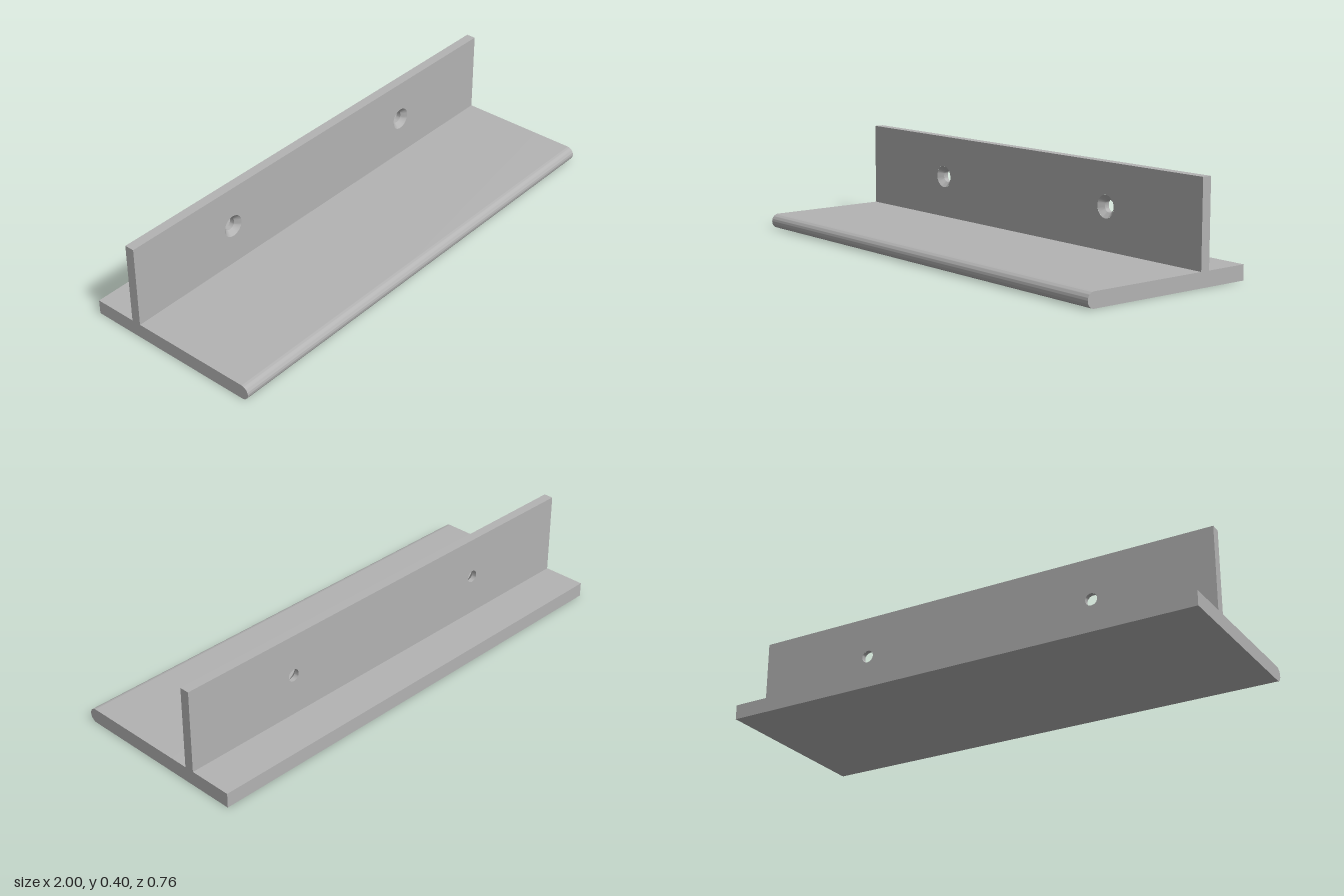
import * as THREE from 'three';
import { toCreasedNormals } from 'three/addons/utils/BufferGeometryUtils.js';

const LENGTH = 2, BASE_H = 0.06, TOP = 0.4;
const WEB_FRONT = -0.16, WEB_BACK = -0.2, WEB_T = WEB_FRONT - WEB_BACK;
const HOLE_X = [-0.5, 0.5], HOLE_Y = 0.23, SINK_R = 0.045, BORE_R = 0.025;

export function createModel() {
  const model = new THREE.Group();
  const grey = new THREE.MeshStandardMaterial({ color: 0xb3b3b3 });
  grey.name = 'plain grey';

  const add = (name, geometry, parent, x = 0, y = 0, z = 0) => {
    const mesh = new THREE.Mesh(geometry, grey);
    mesh.name = name;
    mesh.position.set(x, y, z);
    parent.add(mesh);
  };

  // Base plate: side profile (z, y) with a half-round front edge, swept along x
  const profile = new THREE.Shape();
  profile.moveTo(-0.38, 0);
  profile.lineTo(0.35, 0);
  profile.absarc(0.35, BASE_H / 2, BASE_H / 2, -Math.PI / 2, Math.PI / 2, false);
  profile.lineTo(-0.38, BASE_H);
  profile.closePath();
  const base = new THREE.ExtrudeGeometry(profile, { depth: LENGTH, bevelEnabled: false, curveSegments: 24 });
  base.rotateY(-Math.PI / 2).translate(LENGTH / 2, 0, 0);
  add('basePlate', toCreasedNormals(base, Math.PI / 6), model);

  // Upright web: faces pierced by the screw holes
  const web = new THREE.Group();
  web.name = 'uprightWeb';
  model.add(web);
  const webFace = (radius) => {
    const s = new THREE.Shape();
    s.moveTo(-LENGTH / 2, BASE_H);
    s.lineTo(LENGTH / 2, BASE_H);
    s.lineTo(LENGTH / 2, TOP);
    s.lineTo(-LENGTH / 2, TOP);
    s.closePath();
    for (const x of HOLE_X) {
      s.holes.push(new THREE.Path().absarc(x, HOLE_Y, radius, 0, Math.PI * 2, true));
    }
    return new THREE.ShapeGeometry(s, 32);
  };
  add('webFrontFace', webFace(SINK_R), web, 0, 0, WEB_FRONT);
  add('webBackFace', webFace(BORE_R).rotateY(Math.PI), web, 0, 0, WEB_BACK);

  // Top edge and end faces of the web
  const midZ = (WEB_FRONT + WEB_BACK) / 2;
  add('webTopEdge', new THREE.PlaneGeometry(LENGTH, WEB_T).rotateX(-Math.PI / 2), web, 0, TOP, midZ);
  for (const side of [-1, 1]) {
    const end = new THREE.PlaneGeometry(WEB_T, TOP - BASE_H).rotateY(side * Math.PI / 2);
    add(side > 0 ? 'webLeftEnd' : 'webRightEnd', end, web, side * LENGTH / 2, (TOP + BASE_H) / 2, midZ);
  }

  // Countersunk screw holes: conical mouth, then a straight bore
  const sink = [[SINK_R, 0], [BORE_R, -0.02], [BORE_R, -WEB_T]].map(([r, d]) => new THREE.Vector2(r, d));
  const bore = toCreasedNormals(new THREE.LatheGeometry(sink, 32).rotateX(Math.PI / 2), Math.PI / 6);
  for (const x of HOLE_X) add('countersunkHole', bore, web, x, HOLE_Y, WEB_FRONT);

  return model;
}
